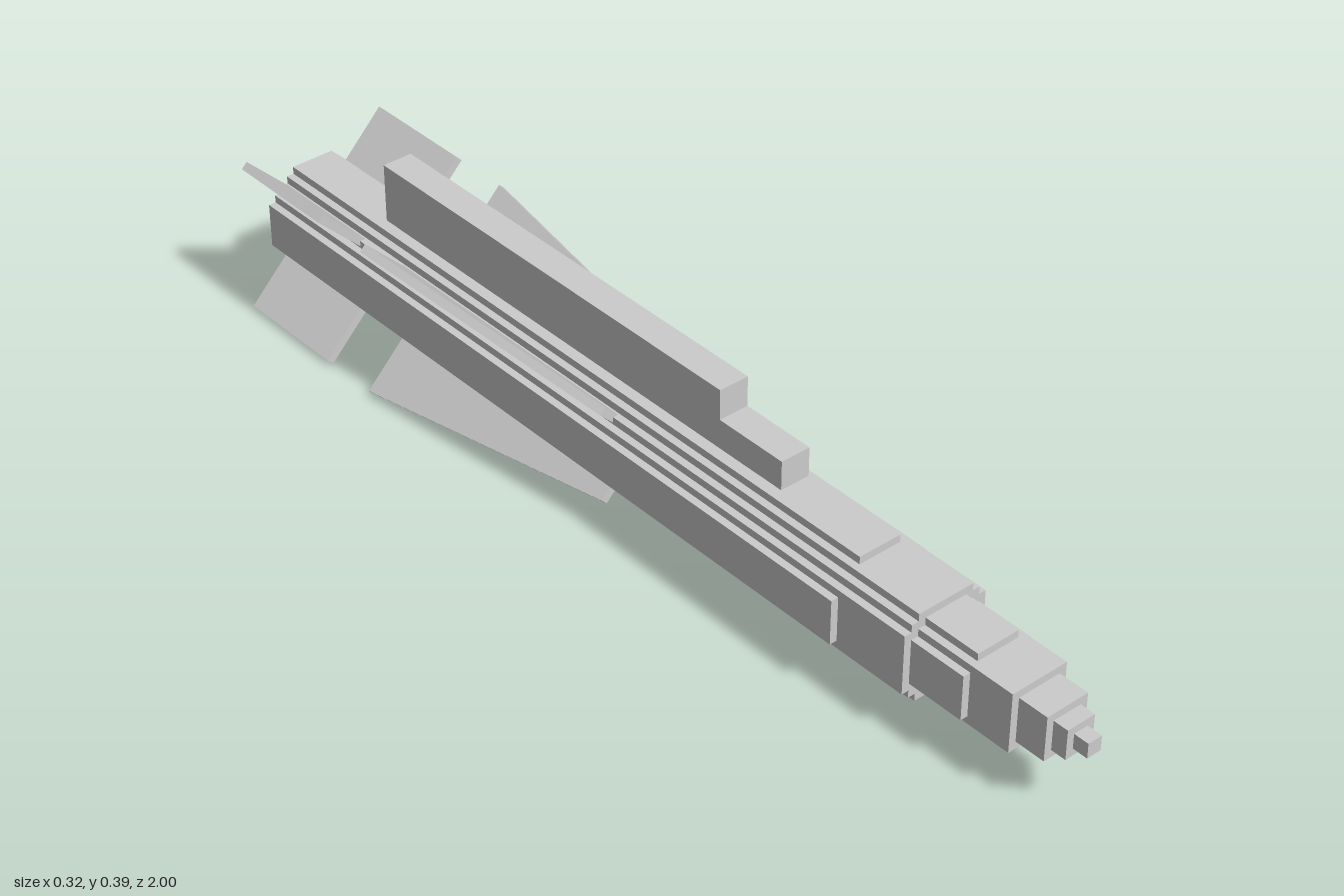
import * as THREE from 'three';

const U = 0.0147;   // step size of the stepped hull
const AXIS = 0.162; // height of the hull axis

const material = new THREE.MeshStandardMaterial({ color: 0xcccccc, flatShading: true });

// Stepped round outline: [a, b] is the first corner, stepping diagonally to [b, a]
function steppedShape(a, b) {
  const quarter = [[a, b]];
  for (let x = a, y = b; x > b; x--, y++) quarter.push([x - 1, y], [x - 1, y + 1]);
  const points = [];
  for (let q = 0; q < 4; q++) {
    for (const [x, y] of quarter) {
      const [px, py] = [[x, y], [-y, x], [-x, -y], [y, -x]][q];
      points.push(new THREE.Vector2(px * U, py * U));
    }
  }
  return new THREE.Shape(points);
}

function add(parent, name, geometry) {
  const mesh = new THREE.Mesh(geometry, material);
  mesh.name = name;
  parent.add(mesh);
  return mesh;
}

// Extrude a cross-section between two z positions
function section(parent, name, shape, z0, z1) {
  const geometry = new THREE.ExtrudeGeometry(shape, { depth: z1 - z0, bevelEnabled: false });
  return add(parent, name, geometry.translate(0, 0, z0));
}

// Box given by half width, y range and z range
function box(parent, name, hw, y0, y1, z0, z1) {
  const geometry = new THREE.BoxGeometry(hw * 2, y1 - y0, z1 - z0);
  return add(parent, name, geometry.translate(0, (y0 + y1) / 2, (z0 + z1) / 2));
}

// Flat fin from [radius, z] corners, turned about the hull axis
function fin(parent, name, corners, angle) {
  const shape = new THREE.Shape(corners.map(([r, z]) => new THREE.Vector2(r, z)));
  const t = 0.016;
  const geometry = new THREE.ExtrudeGeometry(shape, { depth: t, bevelEnabled: false });
  geometry.translate(0, 0, -t / 2).rotateX(Math.PI / 2).rotateZ(angle);
  return add(parent, name, geometry);
}

export function createModel() {
  const model = new THREE.Group();
  model.name = 'missile';

  const hull = new THREE.Group();
  hull.name = 'hull';
  hull.position.y = AXIS;
  model.add(hull);

  // Main body with a square exhaust recess at the back
  section(hull, 'mainBody', steppedShape(7, 3), -0.88, 0.525);
  const tail = steppedShape(7, 3);
  const h = 3 * U;
  tail.holes.push(new THREE.Path([[-h, -h], [-h, h], [h, h], [h, -h]].map(p => new THREE.Vector2(...p))));
  section(hull, 'exhaustTail', tail, -1, -0.88);

  // Nose tapering in steps: first corner, back z, front z
  const nose = [
    [6, 4, 0.525, 0.675],
    [5, 3, 0.675, 0.79],
    [4, 4, 0.79, 0.88],
    [3, 3, 0.88, 0.94],
    [2, 2, 0.94, 0.97],
    [1, 1, 0.97, 1],
  ];
  nose.forEach(([a, b, z0, z1], i) => section(hull, 'noseStep' + (i + 1), steppedShape(a, b), z0, z1));

  // Four swept wings and four square tail fins in an X
  const wing = [[0.08, -0.045], [0.08, -0.63], [0.22, -0.63], [0.134, -0.045]];
  const tailFin = [[0.08, -0.755], [0.08, -0.99], [0.22, -0.99], [0.22, -0.755]];
  for (let i = 0; i < 4; i++) {
    const angle = Math.PI / 4 + i * Math.PI / 2;
    fin(hull, 'wing' + (i + 1), wing, angle);
    fin(hull, 'tailFin' + (i + 1), tailFin, angle);
  }

  // Mounting rail on top
  box(model, 'railFoot', 0.022, 0.26, 0.275, -0.7, 0.265);
  box(model, 'rail', 0.03, 0.274, 0.39, -0.73, 0.175);
  box(model, 'railFrontStep', 0.03, 0.274, 0.331, 0.175, 0.325);

  return model;
}
